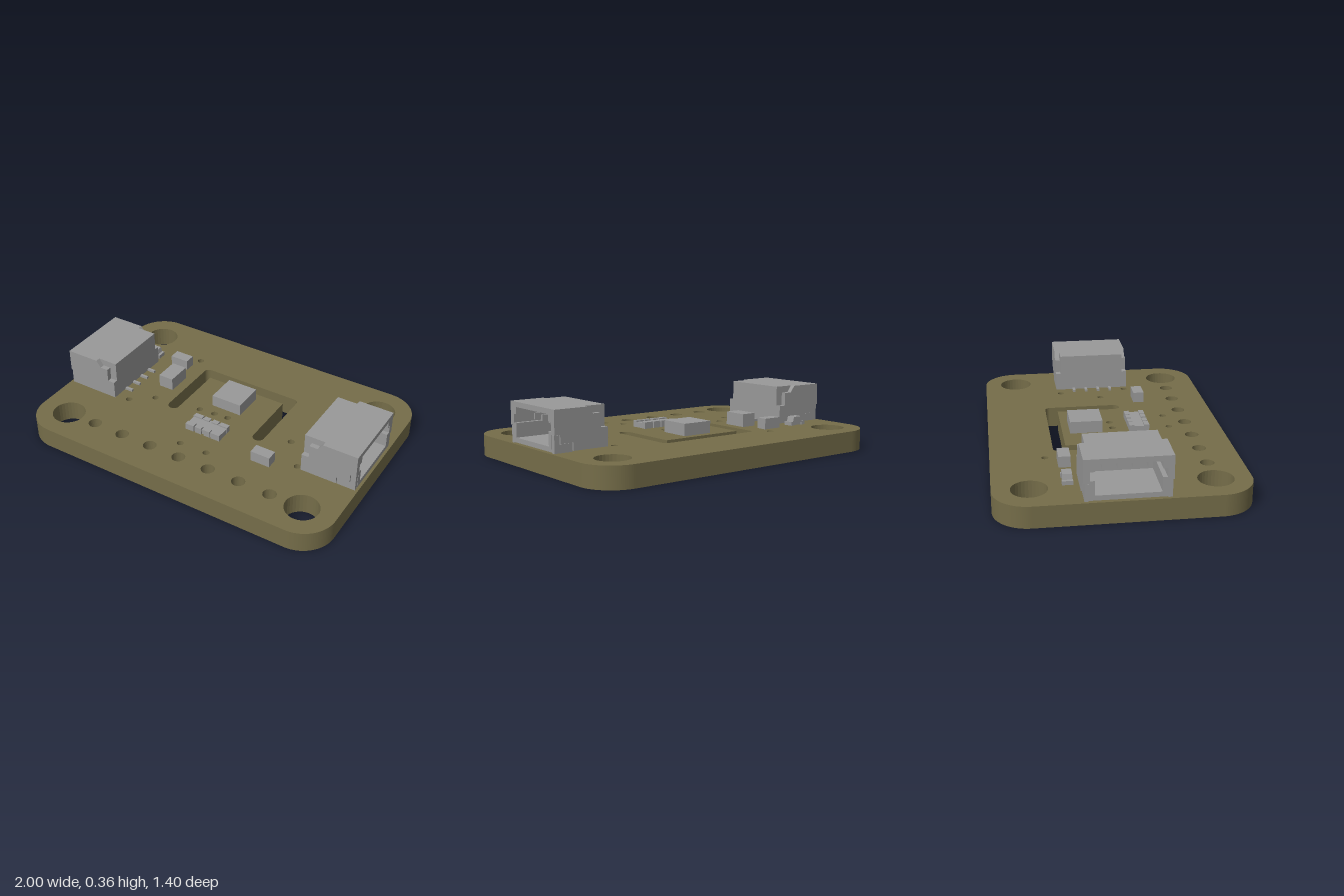
import * as THREE from 'three';

const boardMat = new THREE.MeshStandardMaterial({ color: 0x756d49 });
boardMat.name = 'olive board';
const partMat = new THREE.MeshStandardMaterial({ color: 0x999999 });
partMat.name = 'grey component';

const TOP = 0.125;

function add(parent, name, geometry, material = partMat) {
  const mesh = new THREE.Mesh(geometry, material);
  mesh.name = name;
  parent.add(mesh);
  return mesh;
}

// Box given by its limits on each axis
function block(parent, name, x0, x1, y0, y1, z0, z1) {
  const mesh = add(parent, name, new THREE.BoxGeometry(x1 - x0, y1 - y0, z1 - z0));
  mesh.position.set((x0 + x1) / 2, (y0 + y1) / 2, (z0 + z1) / 2);
  return mesh;
}

const polygon = (points, Type = THREE.Shape) => new Type(points.map(([x, y]) => new THREE.Vector2(x, y)));

function extrude(shape, depth, curveSegments = 16) {
  return new THREE.ExtrudeGeometry(shape, { depth, curveSegments, bevelEnabled: false });
}

// Board plate: shape y is minus z
function buildBoard(parent) {
  const r = 0.2, w = 1, h = 0.7;
  const shape = new THREE.Shape();
  shape.moveTo(-w + r, -h);
  shape.lineTo(w - r, -h);
  shape.absarc(w - r, -h + r, r, -Math.PI / 2, 0);
  shape.lineTo(w, h - r);
  shape.absarc(w - r, h - r, r, 0, Math.PI / 2);
  shape.lineTo(-w + r, h);
  shape.absarc(-w + r, h - r, r, Math.PI / 2, Math.PI);
  shape.lineTo(-w, -h + r);
  shape.absarc(-w + r, -h + r, r, Math.PI, Math.PI * 1.5);

  const hole = (x, z, radius) => shape.holes.push(new THREE.Path().absarc(x, -z, radius, 0, Math.PI * 2, true));
  // Mounting holes
  for (const x of [-0.8, 0.8]) for (const z of [-0.5, 0.5]) hole(x, z, 0.1);
  // Header row
  for (let i = -3; i <= 3; i++) hole(i * 0.2, 0.5, 0.04);
  // Small vias
  const vias = [
    [-0.42, -0.39], [0.59, -0.21], [-0.57, 0.2], [-0.44, 0.1], [-0.14, 0.055], [-0.04, 0.047],
    [0.05, 0.04], [0.485, 0.04], [0.62, 0.215], [-0.06, 0.39], [0.115, 0.385],
  ];
  for (const [x, z] of vias) hole(x, z, 0.02);

  // U-shaped isolation slot
  const slot = new THREE.Path();
  slot.moveTo(-0.335, -0.1);
  slot.lineTo(-0.335, 0.305);
  slot.absarc(-0.305, 0.305, 0.03, Math.PI, Math.PI / 2, true);
  slot.lineTo(0.305, 0.335);
  slot.absarc(0.305, 0.305, 0.03, Math.PI / 2, 0, true);
  slot.lineTo(0.335, -0.1);
  slot.absarc(0.3, -0.1, 0.035, 0, -Math.PI, true);
  slot.lineTo(0.265, 0.26);
  slot.lineTo(-0.265, 0.26);
  slot.lineTo(-0.265, -0.1);
  slot.absarc(-0.3, -0.1, 0.035, 0, -Math.PI, true);
  shape.holes.push(slot);

  add(parent, 'board', extrude(shape, TOP).rotateX(-Math.PI / 2), boardMat);
}

// Side-entry socket opening towards +x
function buildConnector(name) {
  const g = new THREE.Group();
  g.name = name;
  const bottom = 0.13, top = 0.36, core = 0.205;

  // Hollow shell with key notches in the side walls
  const shell = polygon([[-core, bottom], [core, bottom], [core, top], [-core, top]]);
  shell.holes.push(polygon([
    [-0.175, 0.158], [-0.175, 0.24], [-0.2, 0.24], [-0.2, 0.29], [-0.175, 0.29], [-0.175, 0.33],
    [0.175, 0.33], [0.175, 0.29], [0.2, 0.29], [0.2, 0.24], [0.175, 0.24], [0.175, 0.158],
  ], THREE.Path));
  const mesh = add(g, 'socketShell', extrude(shell, 0.285).rotateY(Math.PI / 2));
  mesh.position.x = 0.7;
  block(g, 'socketBack', 0.65, 0.7, bottom, top, -core, core);

  // Stepped cheeks and the solder tabs tucked beneath them
  const cheek = extrude(polygon([
    [0.65, bottom], [0.87, bottom], [0.87, 0.175], [0.95, 0.175], [0.95, 0.225], [0.985, 0.225],
    [0.985, top], [0.775, top], [0.745, 0.32], [0.695, 0.32], [0.695, 0.24], [0.65, 0.24],
  ]), 0.03);
  const tab = extrude(polygon([
    [0.872, TOP], [0.983, TOP], [0.983, 0.223], [0.952, 0.223], [0.952, 0.173], [0.872, 0.173],
  ]), 0.024);
  for (const s of [-1, 1]) {
    add(g, 'socketCheek', cheek).position.z = s > 0 ? core : -0.235;
    add(g, 'solderTab', tab).position.z = s > 0 ? core : -0.229;
  }

  // Contacts inside and leads at the back
  for (let i = 0; i < 4; i++) {
    const z = -0.12 + i * 0.08;
    block(g, 'contact', 0.69, 0.9, 0.26, 0.295, z - 0.007, z + 0.007);
    block(g, 'lead', 0.6, 0.66, TOP, 0.14, z - 0.008, z + 0.008);
  }
  return g;
}

// Small resistor network with terminals along both long edges
function buildResistorArray(parent) {
  const g = new THREE.Group();
  g.name = 'resistorArray';
  block(g, 'arrayBody', -0.108, 0.123, TOP, 0.157, 0.15, 0.25);
  for (let i = 0; i < 4; i++) {
    const x = -0.081 + i * 0.059;
    const half = i === 0 || i === 3 ? 0.029 : 0.021;
    block(g, 'terminal', x - half, x + half, TOP, 0.165, 0.14, 0.17);
    block(g, 'terminal', x - half, x + half, TOP, 0.165, 0.23, 0.26);
  }
  parent.add(g);
}

// Indicator lamp: base, end pads and a tapered lens
function buildLamp(parent) {
  const g = new THREE.Group();
  g.name = 'indicatorLamp';
  block(g, 'lampBase', -0.78, -0.665, TOP, 0.145, -0.315, -0.275);
  for (const x of [-0.78, -0.69]) block(g, 'lampPad', x, x + 0.025, TOP, 0.148, -0.325, -0.265);
  const lens = polygon([[-0.765, 0.14], [-0.68, 0.14], [-0.69, 0.178], [-0.755, 0.178]]);
  add(g, 'lampLens', extrude(lens, 0.054)).position.z = -0.322;
  parent.add(g);
}

export function createModel() {
  const model = new THREE.Group();
  model.name = 'sensorBoard';
  buildBoard(model);

  const left = buildConnector('leftConnector');
  const right = buildConnector('rightConnector');
  right.rotation.y = Math.PI;
  model.add(left, right);

  block(model, 'sensorChip', -0.095, 0.1, TOP, 0.198, -0.215, -0.02);
  block(model, 'rearCapacitor', -0.56, -0.44, TOP, 0.19, -0.325, -0.257);
  block(model, 'largeCapacitor', -0.492, -0.395, TOP, 0.205, -0.175, -0.022);
  block(model, 'frontCapacitor', 0.365, 0.487, TOP, 0.19, 0.24, 0.307);
  buildResistorArray(model);
  buildLamp(model);
  return model;
}
